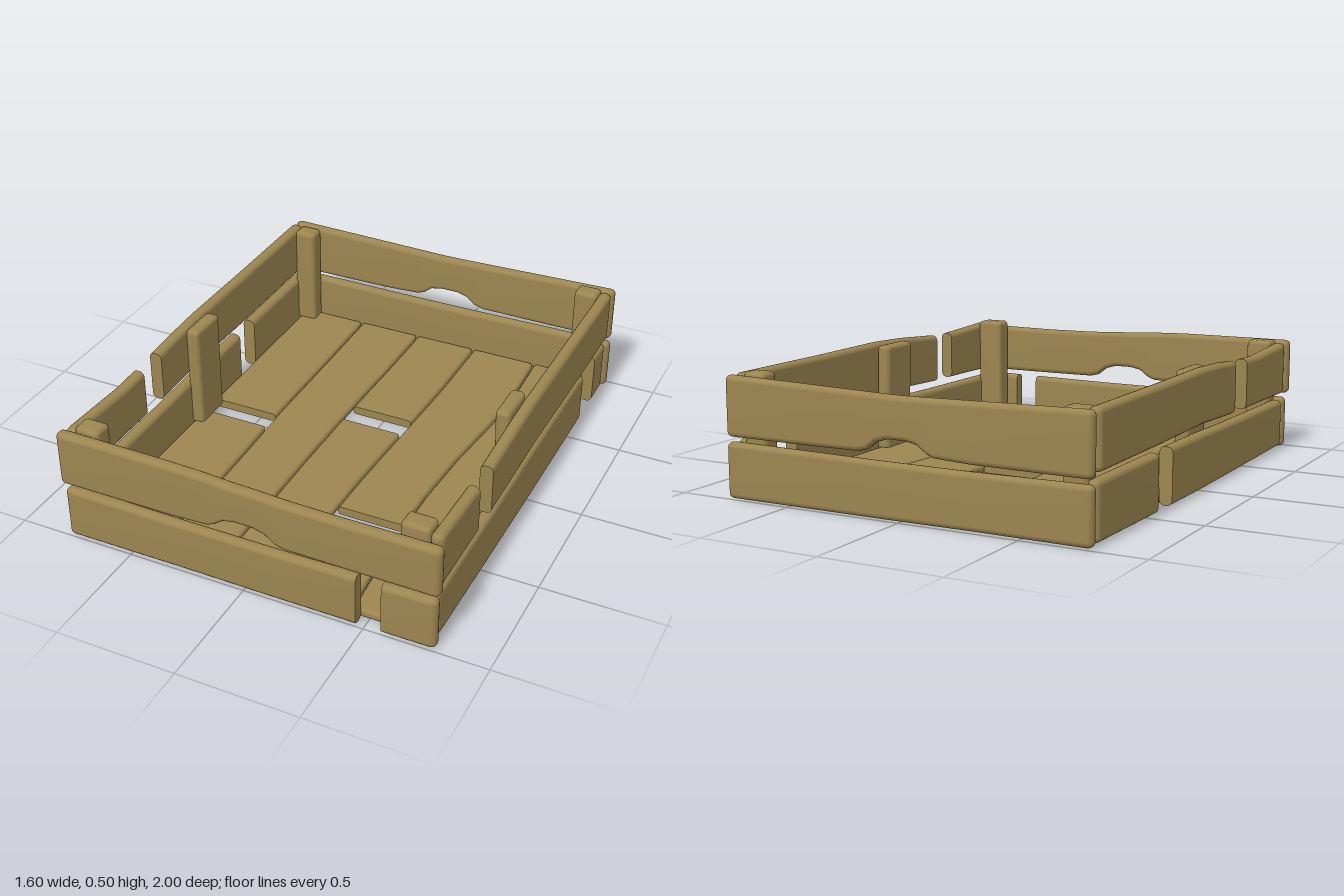
import * as THREE from 'three';

// Axis mappings from (along, wide, thin) to x, y, z; flip marks a mirrored mapping.
const ALONG_X = { map: (t, a, b) => [t, a, b], flip: false };   // front and back boards
const SIDE = { map: (t, a, b) => [b, a, t], flip: true };       // side boards
const FLOOR = { map: (t, a, b) => [a, b, t], flip: false };     // floor planks
const POST = { map: (t, a, b) => [b, t, a], flip: false };      // upright posts

// Linear look-up in a profile of rows [t, lo, hi]
function sample(profile, t) {
  let i = 0;
  while (i < profile.length - 2 && t > profile[i + 1][0]) i++;
  const p = profile[i], q = profile[i + 1];
  const k = THREE.MathUtils.clamp((t - p[0]) / (q[0] - p[0]), 0, 1);
  return [p[1] + (q[1] - p[1]) * k, p[2] + (q[2] - p[2]) * k];
}

// Rounded rectangle, counter-clockwise
function ring(a0, a1, b0, b1, r) {
  const pts = [];
  const corners = [[a1 - r, b1 - r], [a0 + r, b1 - r], [a0 + r, b0 + r], [a1 - r, b0 + r]];
  corners.forEach(([a, b], c) => {
    for (let s = 0; s <= 4; s++) {
      const th = (c + s / 4) * Math.PI / 2;
      pts.push([a + r * Math.cos(th), b + r * Math.sin(th)]);
    }
  });
  return pts;
}

// Stations [t, inset] at a board end: a quarter round, or one flat cut
function endSteps(t, dir, r, rounded) {
  if (!rounded) return [[t, 0]];
  return [0, 1, 2, 3, 4].map(s => {
    const th = s * Math.PI / 8;
    return [t + dir * r * (1 - Math.cos(th)), r * (1 - Math.sin(th))];
  });
}

// Board with a varying width: ends are either rounded over or sawn flat.
function board(axis, t0, t1, profile, thin, { r = 0.022, round0 = true, round1 = true, lean = 0 } = {}) {
  const inner = profile.map(([t]) => [t, 0]).filter(([t]) => t > t0 + r + 0.005 && t < t1 - r - 0.005);
  const steps = [...endSteps(t0, 1, r, round0), ...inner, ...endSteps(t1, -1, r, round1).reverse()];

  const pos = [], idx = [];
  const tri = (a, b, c) => (axis.flip ? idx.push(a, c, b) : idx.push(a, b, c));
  const rings = steps.map(([t, inset]) => {
    const [lo, hi] = sample(profile, t);
    const shift = lean * (t - t0);
    return ring(lo + inset, hi - inset, thin[0] + inset + shift, thin[1] - inset + shift,
      Math.max(r - inset, 0.001)).map(([a, b]) => axis.map(t, a, b));
  });
  const n = rings[0].length;
  rings.forEach(p => p.forEach(v => pos.push(...v)));
  for (let i = 0; i < rings.length - 1; i++) {
    for (let j = 0; j < n; j++) {
      const k = (j + 1) % n, a = i * n, b = a + n;
      tri(a + j, a + k, b + j);
      tri(a + k, b + k, b + j);
    }
  }
  // End caps with their own vertices, so sawn ends stay crisp
  [rings[0], rings[rings.length - 1]].forEach((p, end) => {
    const base = pos.length / 3;
    p.forEach(v => pos.push(...v));
    for (let j = 1; j < n - 1; j++) {
      if (end) tri(base, base + j, base + j + 1);
      else tri(base, base + j + 1, base + j);
    }
  });
  const g = new THREE.BufferGeometry();
  g.setAttribute('position', new THREE.Float32BufferAttribute(pos, 3));
  g.setIndex(idx);
  g.computeVertexNormals();
  return g;
}

export function createModel() {
  const wood = new THREE.MeshStandardMaterial({ color: 0x9c8550 });
  wood.name = 'wood';
  const model = new THREE.Group();
  model.name = 'crate';
  const add = (name, geometry) => {
    const mesh = new THREE.Mesh(geometry, wood);
    mesh.name = name;
    model.add(mesh);
  };
  // One board sawn into several pieces; only the outermost ends are rounded
  const pieces = (name, axis, spans, profile, thin, opts = {}) => spans.forEach(([s, e], i) =>
    add(name, board(axis, s, e, profile, thin,
      { ...opts, round0: i === 0, round1: i === spans.length - 1 })));

  // Front and back boards, the upper ones with a hand hole in the lower edge
  const frontTop = [[-0.8, 0.255, 0.493], [-0.3, 0.257, 0.49], [-0.15, 0.264, 0.485], [-0.12, 0.275, 0.483],
    [-0.08, 0.305, 0.48], [-0.03, 0.315, 0.477], [0.05, 0.315, 0.475], [0.1, 0.3, 0.472],
    [0.14, 0.268, 0.47], [0.18, 0.258, 0.468], [0.4, 0.256, 0.465], [0.8, 0.255, 0.468]];
  const backTop = frontTop.map(([t, lo]) => [t, lo, 0.48 + 0.018 * Math.abs(t) / 0.8]);
  const low = [[-0.8, 0.012, 0.236], [-0.3, 0.014, 0.23], [0.1, 0.012, 0.23], [0.8, 0.012, 0.236]];
  add('frontUpperBoard', board(ALONG_X, -0.8, 0.795, frontTop, [0.947, 1.0]));
  pieces('frontLowerBoard', ALONG_X, [[-0.785, 0.467], [0.57, 0.785]], low, [0.947, 0.998]);
  add('backUpperBoard', board(ALONG_X, -0.785, 0.785, backTop, [-1.0, -0.95]));
  add('backLowerBoard', board(ALONG_X, -0.785, 0.785, low, [-1.0, -0.95]));

  // Side boards with their broken gaps
  const sideTop = [[-0.95, 0.27, 0.5], [-0.4, 0.272, 0.5], [0, 0.278, 0.503], [0.2, 0.27, 0.495],
    [0.465, 0.262, 0.475], [0.6, 0.262, 0.47], [0.94, 0.258, 0.485]];
  const sideLow = [[-0.95, 0.018, 0.243], [-0.4, 0.012, 0.243], [0, 0.01, 0.24],
    [0.4, 0.013, 0.232], [0.94, 0.02, 0.228]];
  pieces('rightUpperBoard', SIDE, [[-0.945, 0.465], [0.592, 0.94]], sideTop, [0.727, 0.78]);
  pieces('rightLowerBoard', SIDE, [[-0.945, -0.8], [-0.638, 0.94]], sideLow, [0.718, 0.772]);
  pieces('leftUpperBoard', SIDE, [[-0.945, 0.33], [0.46, 0.94]], sideTop, [-0.792, -0.738]);
  pieces('leftLowerBoard', SIDE, [[-0.945, -0.43], [-0.3, 0.94]], sideLow, [-0.785, -0.73]);

  // Floor planks share slightly wavy seams
  const zs = [-0.95, -0.6, -0.4, -0.1, 0.2, 0.5, 0.94];
  const seams = [
    [-0.73, -0.73, -0.73, -0.73, -0.73, -0.73, -0.73],
    [-0.427, -0.425, -0.425, -0.425, -0.415, -0.408, -0.425],
    [-0.138, -0.142, -0.148, -0.154, -0.155, -0.152, -0.148],
    [0.147, 0.145, 0.138, 0.125, 0.112, 0.108, 0.112],
    [0.446, 0.458, 0.447, 0.416, 0.4, 0.402, 0.43],
    [0.718, 0.718, 0.718, 0.718, 0.715, 0.71, 0.705]];
  const spans = [
    [[-0.95, -0.057], [0.043, 0.945]],
    [[-0.95, 0.945]],
    [[-0.95, -0.265], [-0.155, 0.488], [0.56, 0.945]],
    [[-0.95, 0.418], [0.49, 0.945]],
    [[-0.95, -0.622], [-0.505, 0.945]]];
  spans.forEach((s, i) => pieces('floorPlank', FLOOR, s,
    zs.map((z, k) => [z, seams[i][k] + 0.004, seams[i + 1][k] - 0.004]), [0.01, 0.047], { r: 0.014 }));

  // Corner and middle posts
  const post = (name, x0, x1, z0, z1, top, lean = 0) => add(name,
    board(POST, 0.035, top, [[0, z0, z1], [0.6, z0, z1]], [x0, x1], { r: 0.018, lean }));
  post('backLeftSidePost', -0.745, -0.645, -0.952, -0.87, 0.495);
  post('backRightSidePost', 0.63, 0.732, -0.952, -0.87, 0.508);
  post('frontLeftSidePost', -0.75, -0.642, 0.853, 0.94, 0.498);
  post('frontRightSidePost', 0.612, 0.73, 0.853, 0.94, 0.5);
  post('middleLeftSidePost', -0.742, -0.68, -0.05, 0.132, 0.495);
  post('middleRightSidePost', 0.668, 0.73, -0.05, 0.138, 0.495, -0.03);

  // Names: the model's own left is +x
  model.traverse(part => {
    part.name = part.name.replace(/left|right/i, w => (
      { left: 'right', right: 'left', Left: 'Right', Right: 'Left' })[w]);
  });

  // Stand exactly on the ground
  model.position.y = -0.01;
  return model;
}
